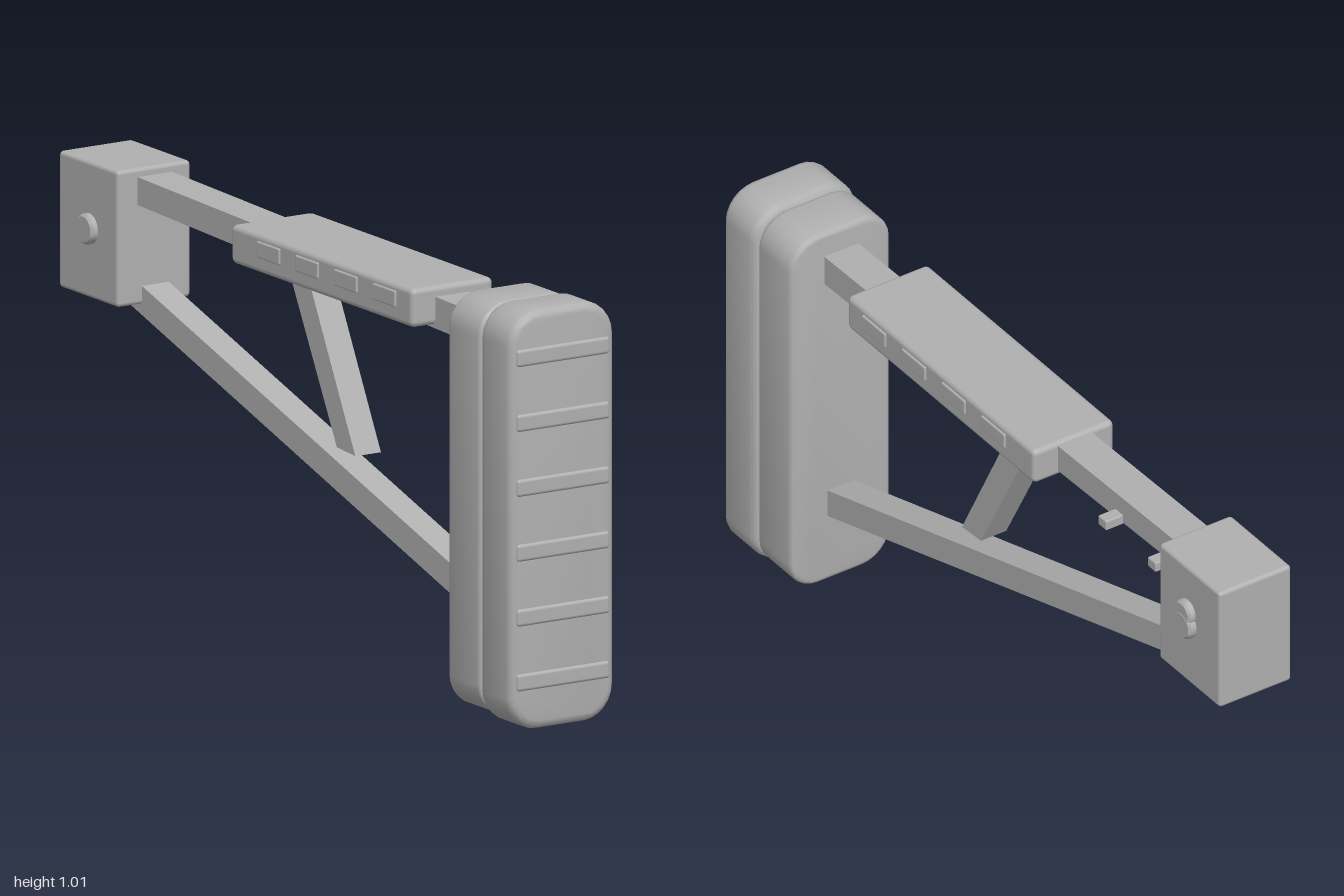
import * as THREE from 'three';
import { toCreasedNormals } from 'three/addons/utils/BufferGeometryUtils.js';
import { RoundedBoxGeometry } from 'three/addons/geometries/RoundedBoxGeometry.js';

const grey = new THREE.MeshStandardMaterial({ color: 0xb0b0b0 });
grey.name = 'matte grey';

export function createModel() {
  const model = new THREE.Group();
  model.name = 'folding shoulder stock';

  const add = (name, geometry, x = 0, y = 0, z = 0) => {
    const mesh = new THREE.Mesh(geometry, grey);
    mesh.name = name;
    mesh.position.set(x, y, z);
    model.add(mesh);
    return mesh;
  };

  // Box given by its limits, with softened edges
  const softBox = (name, [x0, x1], [y0, y1], [z0, z1], radius) =>
    add(name, new RoundedBoxGeometry(x1 - x0, y1 - y0, z1 - z0, 2, radius),
      (x0 + x1) / 2, (y0 + y1) / 2, (z0 + z1) / 2);

  // Upright slab with rounded corners and a bevelled rim
  const slab = (name, halfWidth, y0, y1, z0, z1, corner, bevel) => {
    const w = halfWidth - bevel, b = y0 + bevel, t = y1 - bevel, r = corner - bevel;
    const s = new THREE.Shape();
    s.absarc(w - r, t - r, r, 0, Math.PI / 2);
    s.absarc(-w + r, t - r, r, Math.PI / 2, Math.PI);
    s.absarc(-w + r, b + r, r, Math.PI, Math.PI * 1.5);
    s.absarc(w - r, b + r, r, Math.PI * 1.5, Math.PI * 2);
    const g = new THREE.ExtrudeGeometry(s, {
      depth: z1 - z0 - 2 * bevel, bevelEnabled: true, bevelSize: bevel,
      bevelThickness: bevel, bevelSegments: 3, curveSegments: 3,
    });
    add(name, toCreasedNormals(g, 0.7), 0, 0, z0 + bevel);
  };

  // Bar with a side profile of [z, y] points, spanning x0 to x1
  const bar = (name, points, x0, x1) => {
    const s = new THREE.Shape(points.map(([z, y]) => new THREE.Vector2(-z, y)));
    const g = new THREE.ExtrudeGeometry(s, { depth: x1 - x0, bevelEnabled: false });
    g.rotateY(Math.PI / 2);
    add(name, g, x0, 0, 0);
  };

  // Butt pad, its backing plate and the grip ribs
  slab('buttPad', 0.147, 0.003, 1.016, 0.86, 0.994, 0.083, 0.02);
  slab('buttPlate', 0.142, 0.012, 1.01, 0.717, 0.856, 0.08, 0.012);
  for (let i = 0; i < 6; i++) {
    const y = 0.123 + i * 0.1568;
    softBox('gripRib', [-0.13, 0.13], [y - 0.021, y + 0.021], [0.975, 1], 0.008);
  }

  // Upper and lower tubes
  bar('upperTube', [[0.73, 0.868], [-0.78, 0.913], [-0.78, 0.98], [0.73, 0.946]], -0.05, 0.047);
  bar('lowerTube', [[0.73, 0.193], [-0.83, 0.67], [-0.83, 0.74], [0.73, 0.266]], -0.038, 0.038);

  // Short brace hanging under the cheek rest
  bar('brace', [[0.162, 0.489], [0.083, 0.495], [-0.132, 0.9], [-0.05, 0.9]], -0.036, 0.036);

  // Cheek rest with raised pads along both sides
  softBox('cheekRest', [-0.115, 0.115], [0.882, 0.976], [-0.252, 0.525], 0.014);
  for (const side of [-1, 1]) {
    for (let i = 0; i < 4; i++) {
      softBox('cheekSidePad', [side * 0.11 - 0.01, side * 0.11 + 0.01],
        [0.92, 0.96], [-0.135 + i * 0.165, -0.037 + i * 0.165], 0.004);
    }
  }

  // Hinge block
  softBox('hingeBlock', [-0.106, 0.1], [0.67, 1], [-1, -0.747], 0.01);

  // Round hinge buttons: a single one on one side, a joined pair on the other
  const button = (x, y, radius) => {
    const profile = [[0, 0.04], [radius - 0.006, 0.04], [radius, 0.034], [radius, 0]]
      .reverse().map(([r, h]) => new THREE.Vector2(r, h));
    const g = toCreasedNormals(new THREE.LatheGeometry(profile, 20), 0.6);
    add('hingeButton', g, x, y, -0.868).rotation.z = x > 0 ? -Math.PI / 2 : Math.PI / 2;
  };
  button(0.079, 0.875, 0.033);
  button(0.08, 0.842, 0.037);
  button(-0.084, 0.838, 0.037);

  // Small pegs on the upper tube
  for (const z of [-0.505, -0.71]) {
    softBox('tubePeg', [0.03, 0.095], [0.9, 0.927], [z - 0.017, z + 0.017], 0.004);
  }

  return model;
}
